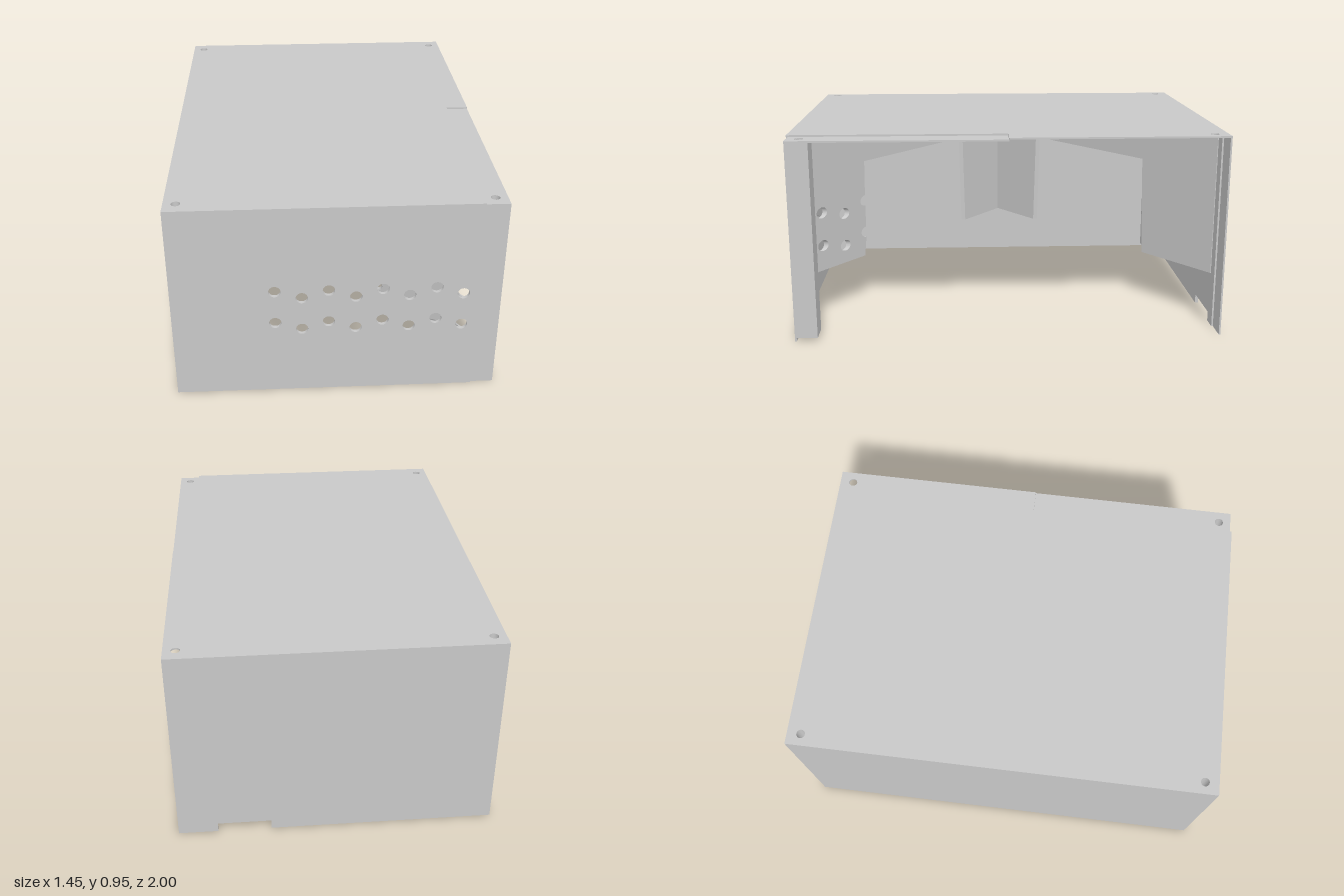
import * as THREE from 'three';

const W = 0.725, H = 0.95, T = 0.016, LAP = 0.008, LX = 0.62; // half width, height, wall, lap depth, lap start
const SX = 0.67, SZ = 0.935, HOLE_R = 0.027;

function polygon(points) {
  return new THREE.Shape(points.map(([x, y]) => new THREE.Vector2(x, y)));
}

function rect(x0, y0, x1, y1) {
  return polygon([[x0, y0], [x1, y0], [x1, y1], [x0, y1]]);
}

function addHole(shape, x, y, r) {
  shape.holes.push(new THREE.Path().absarc(x, y, r, 0, Math.PI * 2, true));
  return shape;
}

function extrude(shape, depth) {
  return new THREE.ExtrudeGeometry(shape, { depth, bevelEnabled: false, curveSegments: 16 });
}

export function createModel() {
  const group = new THREE.Group();
  const grey = new THREE.MeshStandardMaterial({ color: 0xc8c8c8 });
  grey.name = 'light grey';

  const add = (name, geometry) => {
    const mesh = new THREE.Mesh(geometry, grey);
    mesh.name = name;
    group.add(mesh);
    return mesh;
  };
  // Upright plate: outline in x and y, starting at z0
  const upright = (name, shape, z0, depth) => add(name, extrude(shape, depth).translate(0, 0, z0));
  // Flat plate: outline in x and z, between two heights
  const flat = (name, shape, y0, y1) => add(name, extrude(shape, y1 - y0).rotateX(Math.PI / 2).translate(0, y1, 0));

  // Top plate and its two stepped lap edges, with screw holes
  const top = rect(-W, -1, LX, 1);
  for (const s of [-1, 1]) addHole(top, -SX, s * SZ, 0.02);
  flat('top', top, H - T, H);
  flat('topFrontLap', addHole(rect(LX, 0, W, 1 - LAP), SX, SZ, 0.02), H - T, H - LAP);
  flat('topBackLap', addHole(rect(LX, -1, W, 0), SX, -SZ, 0.02), H - LAP, H);

  // Left-hand closed wall
  upright('sideWall', rect(-W, 0, -W + T, H - T), -1 + T, 2 - 2 * T);

  // Front wall with two zigzag rows of vent holes
  const vents = [];
  [-0.272, -0.154, -0.036, 0.083, 0.201, 0.319, 0.437, 0.555].forEach((x, i) => {
    const drop = i % 2 ? 0.036 : 0;
    vents.push([x, 0.374 - drop], [x, 0.538 - drop]);
  });
  const front = rect(-W, 0, LX, H - T);
  vents.forEach(([x, y]) => addHole(front, x, y, HOLE_R));
  upright('frontWall', front, 1 - T, T);
  upright('frontLap', rect(LX, 0, W, H - T), 1 - T, T - LAP);

  // Back wall with a notch in the lower edge
  const back = polygon([[-W, 0], [0.3, 0], [0.3, 0.045], [0.545, 0.045], [0.545, 0], [LX, 0], [LX, H - T], [-W, H - T]]);
  upright('backWall', back, -1, T);
  upright('backLap', rect(LX, 0, W, H - LAP), -1, LAP);

  // Screw posts: a hexagonal nut pocket below a round bore
  const post = (name, x0, x1, sx, sz) => {
    const za = sz * 0.887, zb = sz * (1 - T);
    const outline = () => rect(x0, Math.min(za, zb), x1, Math.max(za, zb));
    const lower = outline();
    const hex = [];
    for (let i = 0; i < 6; i++) {
      const a = -i * Math.PI / 3;
      hex.push(new THREE.Vector2(sx * SX + 0.041 * Math.cos(a), sz * SZ + 0.041 * Math.sin(a)));
    }
    lower.holes.push(new THREE.Path(hex));
    flat(name + 'Pocket', lower, 0.016, 0.06);
    flat(name, addHole(outline(), sx * SX, sz * SZ, 0.02), 0.06, H - T);
  };
  post('frontOpenPost', LX, W, 1, 1);
  post('frontPost', -W + T, -LX, -1, 1);
  post('backPost', -W + T, -LX, -1, -1);

  // Slanted inner panels forming a V, each with a wide opening from below
  const panel = (name, drilled) => {
    const xa = -W + T, xb = 0.56, yb = 0.25, yt = H - T;
    const s = new THREE.Shape();
    s.moveTo(xa, yb);
    s.lineTo(-0.452, yb);
    s.lineTo(-0.438, 0.74);
    s.lineTo(0.198, 0.74);
    if (drilled) { // vent bores cutting the opening's edge
      for (const y of [0.538, 0.374]) s.absarc(0.201, y, HOLE_R, Math.PI / 2, -Math.PI / 2, true);
    }
    s.lineTo(0.212, yb);
    s.lineTo(xb, yb);
    if (drilled) { // vent bores cutting the outer edge
      for (const y of [0.338, 0.502]) s.absarc(xb, y, HOLE_R, -Math.PI / 2, Math.PI / 2, true);
    }
    s.lineTo(xb, yt);
    s.lineTo(xa, yt);
    if (drilled) vents.filter(([x]) => x > 0.3 && x < 0.5).forEach(([x, y]) => addHole(s, x, y, HOLE_R));
    const geometry = extrude(s, 0.022);
    const p = geometry.attributes.position;
    for (let i = 0; i < p.count; i++) {
      p.setZ(i, Math.min(p.getZ(i) + (p.getX(i) - xa) * 0.773, 0.986));
    }
    geometry.computeVertexNormals();
    return add(name, geometry);
  };
  panel('frontInnerPanel', true);
  panel('backInnerPanel', false).scale.z = -1;

  return group;
}
